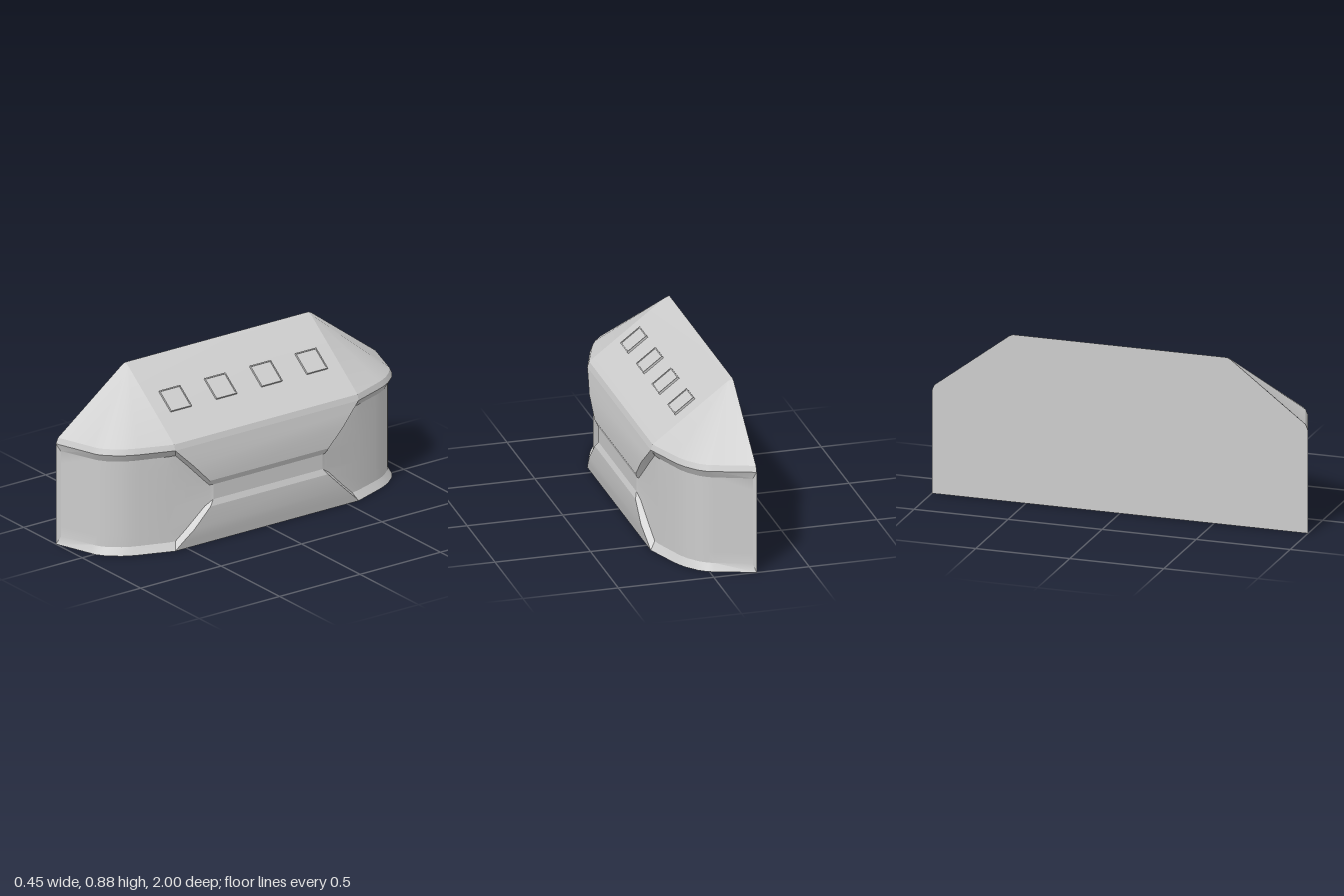
import * as THREE from 'three';
import { toCreasedNormals } from 'three/addons/utils/BufferGeometryUtils.js';

const BACK = -0.225, RIM = 0.545, HIP = 0.57;
const material = new THREE.MeshStandardMaterial({ color: 0xcccccc });

// Half footprint [x, z] from the back corner round to the long front
const outline = [[BACK, 1], [-0.02, 0.93], [0.01, 0.92], [0.05, 0.89], [0.1, 0.83], [0.125, 0.785], [0.14, 0.75], [0.205, HIP]];
// The same path for the recessed end wall
const inset = [[-0.21, 0.98], [-0.03, 0.912], [0, 0.9], [0.037, 0.872], [0.083, 0.815], [0.106, 0.772], [0.12, 0.735], [0.17, 0.59]];

// Front section profile [x, y, half length]: grooved front, then roof slope
const frontProfile = [
  [0.205, 0, HIP], [0.213, 0.04, 0.53], [0.225, 0.1, 0.465], [0.225, 0.2, 0.365], [0.213, 0.23, 0.34],
  [0.213, 0.31, 0.34], [0.225, 0.34, 0.37], [0.225, 0.44, 0.465], [0.212, 0.505, 0.53], [0.205, RIM, HIP],
  [0.195, 0.575, HIP], [-0.2, 0.875, HIP], [BACK, 0.885, HIP],
];

// Skin over rows of points, skipping collapsed triangles
function skin(name, rows, flip = false, crease = 0.45) {
  const pos = [];
  const tri = (a, b, c) => {
    const [p, q, r] = [a, b, c].map((v) => new THREE.Vector3(...v));
    if (q.clone().sub(p).cross(r.clone().sub(p)).length() < 1e-8) return;
    pos.push(...a, ...(flip ? c : b), ...(flip ? b : c));
  };
  for (let i = 0; i < rows.length - 1; i++) {
    for (let j = 0; j < rows[i].length - 1; j++) {
      const a = rows[i][j], b = rows[i][j + 1], c = rows[i + 1][j + 1], d = rows[i + 1][j];
      tri(a, b, c);
      tri(a, c, d);
    }
  }
  const geometry = new THREE.BufferGeometry();
  geometry.setAttribute('position', new THREE.Float32BufferAttribute(pos, 3));
  const mesh = new THREE.Mesh(toCreasedNormals(geometry, crease), material);
  mesh.name = name;
  return mesh;
}

// Recessed wall with a chamfered border, closed off by the front section's edge
function endWall(side) {
  const rows = frontProfile.slice(0, 10).map(([x, y, z]) => {
    const border = y === 0 || y === RIM;
    const path = border ? outline : inset;
    const wallZ = z + 0.02;
    const wallX = 0.178 + (0.55 - wallZ) * 0.15;
    const row = [[BACK, y, 1], ...path.map(([px, pz]) => [px, y, pz])];
    row.push(border ? [x, y, z] : [wallX, y, wallZ], [x, y, z]);
    return row.map(([px, py, pz]) => [px, py, pz * side]);
  });
  return skin('endWall', rows, side < 0);
}

// Rounded hip roof fanning in to one apex
function endRoof(side) {
  const last = outline.length - 1;
  const rim = outline.map(([x, z]) => [x, RIM, z]);
  const eave = outline.map(([x, z], i) => [
    i === 0 ? BACK : i === last ? 0.195 : x + (-0.2 - x) * 0.03, 0.575, z + (HIP - z) * 0.03]);
  const apex = outline.map((p, i) => (i === 0 ? [BACK, 0.875, 0.59] : [-0.2, 0.875, HIP]));
  const peak = outline.map(() => [BACK, 0.885, HIP]);
  const rows = [rim, eave, apex, peak].map((r) => r.map(([x, y, z]) => [x, y, z * side]));
  return skin('endRoof', rows, side < 0, 0.5);
}

// Raised square skylight frame with a slightly sunken pane
function skylight() {
  const group = new THREE.Group();
  group.name = 'skylight';
  const w = 0.128, t = 0.006, h = w / 2 - t;
  const shape = new THREE.Shape([[-w, -w], [w, -w], [w, w], [-w, w]].map(([x, y]) => new THREE.Vector2(x / 2, y / 2)));
  shape.holes.push(new THREE.Path([[-h, -h], [-h, h], [h, h], [h, -h]].map(([x, y]) => new THREE.Vector2(x, y))));
  const frame = new THREE.Mesh(
    new THREE.ExtrudeGeometry(shape, { depth: 0.016, bevelEnabled: false }).rotateX(-Math.PI / 2), material);
  frame.name = 'skylightFrame';
  frame.position.y = -0.005;
  const pane = new THREE.Mesh(new THREE.BoxGeometry(h * 2, 0.012, h * 2), material);
  pane.name = 'skylightPane';
  pane.position.y = 0.001;
  group.add(frame, pane);
  return group;
}

export function createModel() {
  const model = new THREE.Group();
  model.name = 'wedgeBuilding';

  // Long front with groove, and main roof slope
  model.add(skin('frontSection', frontProfile.slice(0, 10).map(([x, y, z]) => [[x, y, z], [x, y, -z]]), false, 0.25));
  model.add(skin('roofSlope', frontProfile.slice(9).map(([x, y, z]) => [[x, y, z], [x, y, -z]])));

  // Mirrored ends
  for (const side of [1, -1]) model.add(endWall(side), endRoof(side));

  // Flat back and underside
  const backEdge = [[0, 1], [RIM, 1], [0.575, 0.987], [0.875, 0.59], [0.885, HIP]];
  model.add(skin('backWall', backEdge.map(([y, z]) => [[BACK, y, -z], [BACK, y, z]])));
  model.add(skin('underside', outline.map(([x, z]) => [[x, 0, z], [x, 0, -z]])));

  // Row of skylights lying on the roof slope
  const pitch = Math.atan2(0.3, 0.395);
  for (const z of [-0.423, -0.141, 0.141, 0.423]) {
    const light = skylight();
    light.position.set(0, 0.575 + 0.195 * Math.tan(pitch), z);
    light.rotation.z = -pitch;
    model.add(light);
  }
  return model;
}
